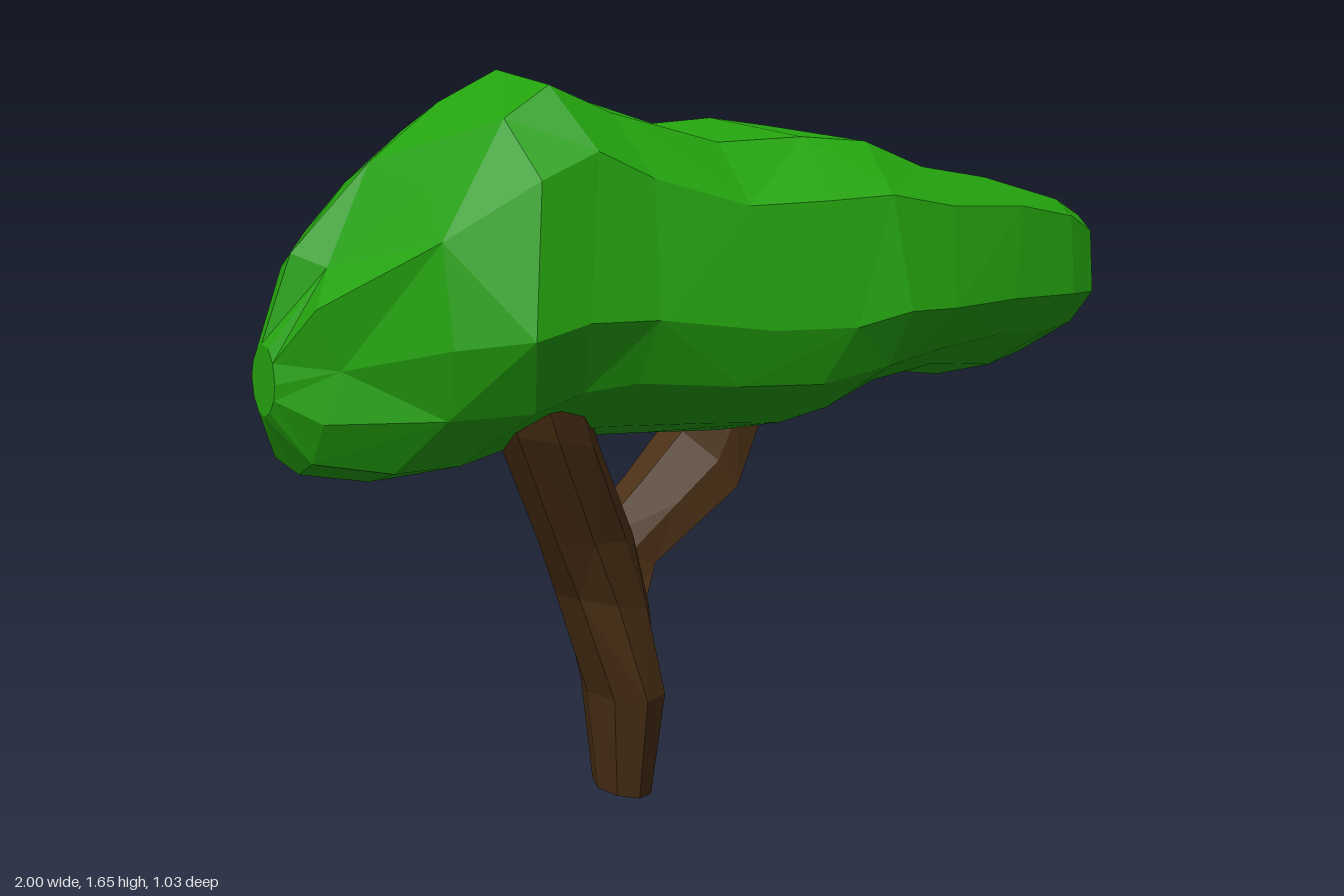
import * as THREE from 'three';

const bark = new THREE.MeshStandardMaterial({ color: 0x4c3116, flatShading: true });
const leaf = new THREE.MeshStandardMaterial({ color: 0x24a30e, flatShading: true });

// Skin a row of equal-length point rings and close both ends
function loft(name, rings, material) {
  const n = rings[0].length;
  const pos = rings.flat().flatMap((p) => p.toArray());
  const index = [];
  for (let i = 0; i < rings.length - 1; i++) {
    for (let j = 0; j < n; j++) {
      const a = i * n + j, b = i * n + (j + 1) % n, c = a + n, d = b + n;
      // alternate the diagonal for an irregular faceted look
      if ((i + j) % 2) index.push(a, b, c, b, d, c);
      else index.push(a, b, d, a, d, c);
    }
  }
  [0, rings.length - 1].forEach((r) => {
    const mid = new THREE.Vector3();
    rings[r].forEach((p) => mid.addScaledVector(p, 1 / n));
    const m = pos.length / 3;
    pos.push(...mid.toArray());
    for (let j = 0; j < n; j++) {
      const a = r * n + j, b = r * n + (j + 1) % n;
      if (r === 0) index.push(m, b, a);
      else index.push(m, a, b);
    }
  });
  const g = new THREE.BufferGeometry();
  g.setAttribute('position', new THREE.Float32BufferAttribute(pos, 3));
  g.setIndex(index);
  g.computeVertexNormals();
  const mesh = new THREE.Mesh(g, material);
  mesh.name = name;
  return mesh;
}

// Limb sections: [y at x0, y at x1, x0, x1, z0, z1]; skew shears them diagonally
function limb(name, sections, sides, skew) {
  const k = 1 / Math.cos(Math.PI / sides);
  const rings = sections.map(([ya, yb, x0, x1, z0, z1]) =>
    Array.from({ length: sides }, (_, j) => {
      const a = ((j + 0.5) / sides) * Math.PI * 2;
      const c = THREE.MathUtils.clamp(Math.cos(a) * k, -1, 1);
      const s = THREE.MathUtils.clamp(Math.sin(a) * k, -1, 1);
      return new THREE.Vector3(
        (x0 + x1) / 2 + (c * (x1 - x0)) / 2,
        (ya + yb) / 2 + (c * (yb - ya)) / 2,
        (z0 + z1) / 2 - s * ((z1 - z0) / 2 - Math.abs(skew) / 2) + c * skew);
    }));
  return loft(name, rings, bark);
}

// Upright crown sections, four extreme points joined by rounded corners:
// [x, bottom y, top y, back z, front z, back y, front y, top z, bottom z, front-top squareness]
function crown(sections, sides) {
  const rings = sections.map(([x, y0, y1, z0, z1, yBack, yFront, zTop, zBottom, p], i) => {
    // corner exponents: below 1 is boxy, above 1 is chamfered
    const backTop = x < -0.5 ? 1.2 : 0.95;
    const frontBottom = 1.1 + 0.3 * Math.max(x, 0);
    const backBottom = 0.95 - 0.5 * Math.exp(-(((x + 0.2) / 0.28) ** 2));
    return Array.from({ length: sides }, (_, j) => {
      const a = (j / sides) * Math.PI * 2;
      const c = Math.cos(a), s = Math.sin(a);
      const wobble = i > 0 && i < 11 ? 0.025 * Math.sin(i * 5.3 + j * 2.7) : 0;
      const [q, yEnd, zMid] = c > 0
        ? [s > 0 ? p : backTop, y1, zTop]
        : [s > 0 ? frontBottom : backBottom, y0, zBottom];
      const [ySide, zSide] = s > 0 ? [yFront, z1] : [yBack, z0];
      return new THREE.Vector3(
        x + wobble,
        THREE.MathUtils.lerp(ySide, yEnd, Math.abs(c) ** q),
        THREE.MathUtils.lerp(zMid, zSide, Math.abs(s) ** q));
    });
  });
  return loft('crown', rings, leaf);
}

export function createModel() {
  const tree = new THREE.Group();
  tree.name = 'tree';

  // Trunk leaning into the larger limb
  tree.add(limb('trunk', [
    [0.02, 0.0, -0.25, -0.12, -0.21, 0.0],
    [0.27, 0.27, -0.30, -0.13, -0.20, 0.08],
    [0.52, 0.46, -0.40, -0.16, -0.17, 0.08],
    [0.66, 0.64, -0.48, -0.23, -0.11, 0.10],
    [0.91, 0.86, -0.62, -0.37, -0.06, 0.17],
    [1.04, 1.0, -0.68, -0.43, -0.04, 0.19],
  ], 8, -0.03));

  // Smaller limb forking off the back of the trunk
  tree.add(limb('branch', [
    [0.44, 0.43, -0.24, -0.16, -0.19, -0.05],
    [0.60, 0.55, -0.26, -0.13, -0.19, -0.04],
    [0.74, 0.64, -0.14, -0.04, -0.15, 0.01],
    [0.85, 0.72, -0.05, 0.05, -0.13, 0.05],
    [0.92, 0.88, -0.03, 0.10, -0.12, 0.08],
    [1.02, 1.0, 0.0, 0.14, -0.12, 0.09],
  ], 6, 0.04));

  // Long lumpy crown
  tree.add(crown([
    [-1.0, 0.95, 1.10, -0.27, -0.17, 1.03, 1.02, -0.22, -0.22, 0.9],
    [-0.93, 0.82, 1.28, -0.32, -0.06, 1.1, 1.05, -0.18, -0.24, 0.9],
    [-0.79, 0.79, 1.46, -0.48, 0.17, 1.2, 1.1, -0.1, -0.22, 0.8],
    [-0.67, 0.80, 1.58, -0.52, 0.30, 1.23, 1.12, -0.06, -0.22, 0.6],
    [-0.55, 0.84, 1.65, -0.47, 0.31, 1.25, 1.15, -0.06, -0.18, 0.6],
    [-0.42, 0.87, 1.60, -0.37, 0.34, 1.23, 1.15, 0.0, -0.08, 0.7],
    [-0.20, 0.87, 1.545, -0.30, 0.41, 1.18, 1.12, 0.03, 0.02, 0.75],
    [-0.02, 0.86, 1.56, -0.33, 0.47, 1.2, 1.12, 0.04, 0.05, 0.75],
    [0.12, 0.885, 1.545, -0.29, 0.51, 1.25, 1.15, 0.08, 0.08, 0.7],
    [0.28, 0.94, 1.48, -0.24, 0.51, 1.28, 1.15, 0.14, 0.08, 0.6],
    [0.5, 0.96, 1.45, -0.28, 0.50, 1.31, 1.16, 0.14, 0.06, 0.5],
    [0.71, 0.935, 1.39, -0.15, 0.48, 1.32, 1.16, 0.2, 0.06, 0.35],
    [0.82, 0.965, 1.35, -0.07, 0.45, 1.27, 1.16, 0.25, 0.09, 0.4],
    [0.94, 1.02, 1.21, 0.05, 0.24, 1.14, 1.15, 0.2, 0.12, 0.8],
    [1.0, 1.14, 1.16, 0.17, 0.19, 1.15, 1.15, 0.18, 0.18, 0.9],
  ], 12));

  return tree;
}
